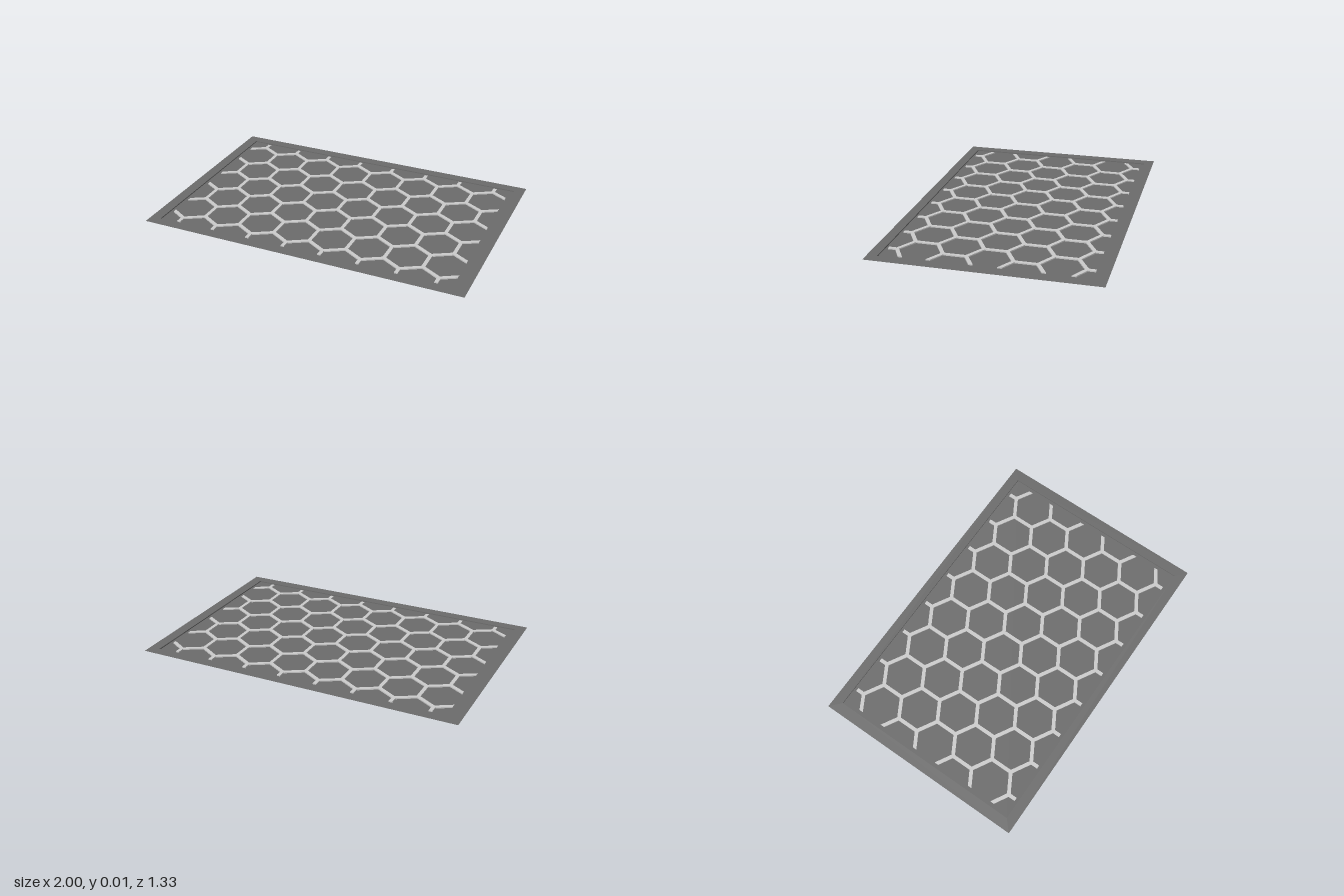
import * as THREE from 'three';
import { mergeGeometries } from 'three/addons/utils/BufferGeometryUtils.js';

const TOP = 0.014, FLOOR = 0.007;      // flange height and recessed floor height
const OUT_X = 1, OUT_Z = 0.667;        // outer edge of the flange
const IN_X = 0.935, IN_Z = 0.607;      // edge of the recess
const END_X = 0.91, END_Z = 0.588;     // where the ribs are cut off
const PITCH = 0.2333, SIDE = PITCH / Math.sqrt(3), ROW = SIDE * 1.5, WIDTH = 0.022;

const rectangle = (w, d) => [[-w, -d], [w, -d], [w, d], [-w, d]].map(([x, z]) => new THREE.Vector2(x, z));

// Extrudes an outline drawn in x and z from y = 0 up to the rib top.
function slab(points) {
  const shape = new THREE.Shape(points.map(([x, z]) => new THREE.Vector2(x, z)));
  const g = new THREE.ExtrudeGeometry(shape, { depth: TOP, bevelEnabled: false });
  return g.rotateX(Math.PI / 2).translate(0, TOP, 0);
}

// Rib along z, trimmed at the border.
function straightRib(x, z0, z1) {
  const a = Math.max(z0, -END_Z), b = Math.min(z1, END_Z), h = WIDTH / 2;
  return slab([[x - h, a], [x + h, a], [x + h, b], [x - h, b]]);
}

// Slanted rib with its ends cut parallel to z, so neighbours meet in a mitre.
function slantedRib(x0, z0, x1, z1) {
  const h = WIDTH / 2 / Math.cos(Math.PI / 6);
  const xa = Math.max(x0, -END_X), xb = Math.min(x1, END_X);
  const zAt = x => z0 + (z1 - z0) * (x - x0) / (x1 - x0);
  return slab([[xa, zAt(xa) - h], [xb, zAt(xb) - h], [xb, zAt(xb) + h], [xa, zAt(xa) + h]]);
}

function honeycomb() {
  const parts = [];
  for (let row = -3; row <= 3; row++) {
    const z = row * ROW, shift = row % 2 ? PITCH / 2 : 0;
    for (let i = -5; i <= 5; i++) {
      const x = i * PITCH + shift;
      if (Math.abs(x) < END_X) parts.push(straightRib(x, z - SIDE / 2, z + SIDE / 2));
      if (row === 3) continue;
      // zigzag towards the next row
      for (const s of [-1, 1]) {
        const xEnd = x + s * PITCH / 2;
        const near = [x, z + SIDE / 2], far = [xEnd, z + SIDE];
        const [l, r] = s < 0 ? [far, near] : [near, far];
        if (l[0] < END_X - 0.001 && r[0] > -END_X + 0.001) parts.push(slantedRib(...l, ...r));
      }
    }
  }
  return mergeGeometries(parts);
}

export function createModel() {
  const group = new THREE.Group();
  const dark = new THREE.MeshStandardMaterial({ color: 0x6c6c6c, side: THREE.DoubleSide });
  const grey = new THREE.MeshStandardMaterial({ color: 0xcccccc });
  const add = (name, geometry, material) => {
    const mesh = new THREE.Mesh(geometry, material);
    mesh.name = name;
    group.add(mesh);
  };

  // thin flange around the recess
  const frame = new THREE.Shape(rectangle(OUT_X, OUT_Z));
  frame.holes.push(new THREE.Path(rectangle(IN_X, IN_Z).reverse()));
  add('flange', new THREE.ShapeGeometry(frame).rotateX(-Math.PI / 2).translate(0, TOP, 0), dark);

  // recessed floor
  add('floor', new THREE.PlaneGeometry(2 * IN_X, 2 * IN_Z).rotateX(-Math.PI / 2).translate(0, FLOOR, 0), dark);

  // low walls between floor and flange, facing inwards
  const walls = [];
  for (let i = 0; i < 4; i++) {
    const [length, distance] = i % 2 ? [IN_Z, IN_X] : [IN_X, IN_Z];
    walls.push(new THREE.PlaneGeometry(2 * length, TOP - FLOOR)
      .translate(0, (TOP + FLOOR) / 2, -distance).rotateY(i * Math.PI / 2));
  }
  add('recessWalls', mergeGeometries(walls), dark);

  // hexagonal ribs standing out above and below the floor
  add('honeycombRibs', honeycomb(), grey);
  return group;
}
